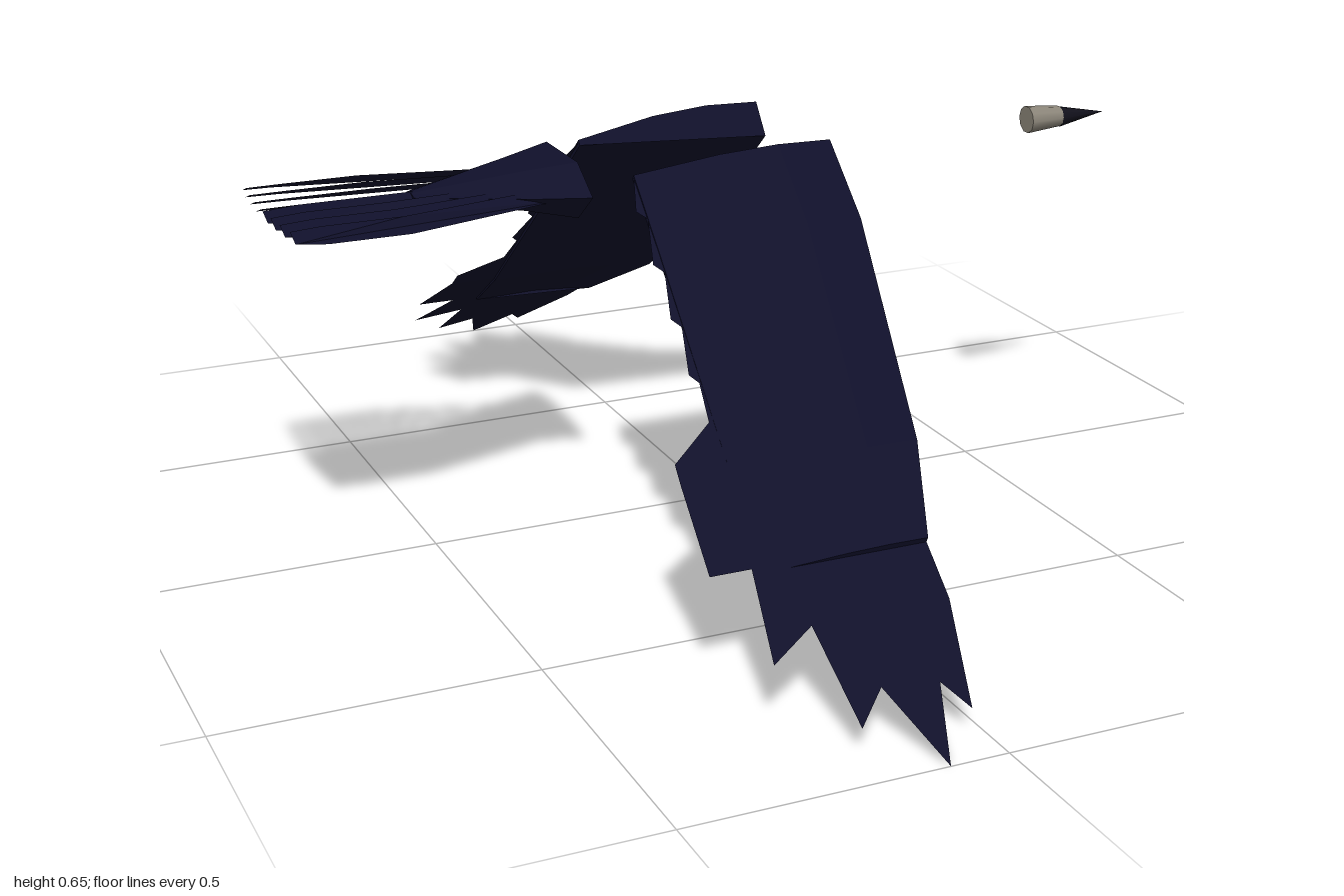
import * as THREE from 'three';

const plumage = new THREE.MeshStandardMaterial({ color: 0x10102a, side: THREE.DoubleSide });
plumage.name = 'midnight plumage';
const beakGrey = new THREE.MeshStandardMaterial({ color: 0x8c867a });
beakGrey.name = 'beak grey';
const beakDark = new THREE.MeshStandardMaterial({ color: 0x12111c });
beakDark.name = 'beak tip dark';

function addMesh(parent, name, geometry, material) {
  const mesh = new THREE.Mesh(geometry, material);
  mesh.name = name;
  parent.add(mesh);
  return mesh;
}

// Faceted solid through rings of equal point count, closed at both ends
function loft(rings) {
  const n = rings[0].length, pos = [];
  const tri = (a, b, c) => pos.push(...a, ...b, ...c);
  for (let i = 0; i < rings.length - 1; i++) {
    for (let j = 0; j < n; j++) {
      const k = (j + 1) % n;
      const [a, b, c, d] = [rings[i][j], rings[i][k], rings[i + 1][k], rings[i + 1][j]];
      tri(a, b, c);
      tri(a, c, d);
    }
  }
  const last = rings[rings.length - 1];
  for (let j = 1; j < n - 1; j++) {
    tri(rings[0][0], rings[0][j + 1], rings[0][j]);
    tri(last[0], last[j], last[j + 1]);
  }
  const g = new THREE.BufferGeometry();
  g.setAttribute('position', new THREE.Float32BufferAttribute(pos, 3));
  g.computeVertexNormals();
  return g;
}

// Flat outline in x and z, lifted to a height given by a rule
function sheet(points, height) {
  const shape = new THREE.Shape(points.map(([x, z]) => new THREE.Vector2(x, z)));
  const g = new THREE.ShapeGeometry(shape).toNonIndexed();
  const p = g.attributes.position;
  for (let i = 0; i < p.count; i++) {
    const x = p.getX(i), z = p.getY(i);
    p.setXYZ(i, x, height(x, z), z);
  }
  g.computeVertexNormals();
  return g;
}

// Height of the drooping wing, with a bend at the wrist
const wingY = (x, z) => z < 0.525
  ? 0.62 - (z - 0.12) * 0.869
  : 0.268 - (z - 0.525) * 0.564;

function makeWing() {
  const wing = new THREE.Group();

  // Arm: cambered sections [z, y, front x, back x, thickness, normal z, normal y]
  const sections = [
    [0.12, 0.625, 0.145, -0.19, 1, 0.6, 0.8],
    [0.23, 0.527, 0.147, -0.193, 0.86, 0.66, 0.75],
    [0.525, 0.268, 0.102, -0.205, 0.42, 0.58, 0.81],
    [0.68, 0.18, 0.04, -0.19, 0.32, 0.49, 0.87],
  ];
  // Profile: chord fraction from the front, and offset from the centre line
  const profile = [
    [0, -0.03], [0, 0.034], [0.28, 0.037], [0.58, 0.028],
    [1, 0], [1, -0.01], [0.5, 0], [0.25, -0.01],
  ];
  addMesh(wing, 'wingArm', loft(sections.map(([z, y, xf, xb, t, nz, ny]) =>
    profile.map(([c, o]) => [xf + (xb - xf) * c, y + o * t * ny, z + o * t * nz]))), plumage);

  // Inner trailing feathers, stepped along the rear edge
  const inner = [[0.02, 0.12], [0.06, 0.525], [-0.287, 0.525], [-0.285, 0.5], [-0.21, 0.455]];
  for (let i = 0; i < 4; i++) {
    const z = 0.4 - i * 0.075;
    inner.push([-0.203 + i * 0.004, z + 0.004], [-0.215 + i * 0.003, z - 0.008]);
  }
  inner.push([-0.19, 0.12]);
  addMesh(wing, 'innerFeathers', sheet(inner, wingY), plumage);

  // Outer flight feathers with pointed tips
  addMesh(wing, 'flightFeathers', sheet([
    [0.098, 0.525], [0.045, 0.64], [0.03, 0.77], [-0.02, 0.93], [-0.047, 0.885],
    [-0.092, 1], [-0.135, 0.875], [-0.19, 0.925], [-0.192, 0.77], [-0.272, 0.815],
    [-0.24, 0.672], [-0.306, 0.672], [-0.287, 0.525],
  ], wingY), plumage);
  return wing;
}

function makeTail() {
  const tail = new THREE.Group();
  tail.name = 'tail';

  // Six-sided tail base tapering into the fan: [x, half width, ridge half width, up, down]
  const rings = [
    [-0.265, 0.135, 0.07, 0.042, 0.05],
    [-0.35, 0.105, 0.045, 0.03, 0.034],
    [-0.52, 0.02, 0.005, 0.004, 0.012],
  ].map(([x, w, r, up, dn]) => [
    [x, 0.6, w], [x, 0.6 + up, r], [x, 0.6 + up, -r],
    [x, 0.6, -w], [x, 0.6 - dn, -r], [x, 0.6 - dn, r],
  ]);
  addMesh(tail, 'tailBase', loft(rings), plumage);

  // Fan of overlapping feathers, each rolled slightly
  const count = 8;
  for (let i = 0; i < count; i++) {
    const a = i / count * 2 - 1, b = (i + 1) / count * 2 - 1, m = (a + b) / 2;
    const tip = -0.757 + 0.012 * m * m;
    const points = [
      [-0.3, a * 0.09], [-0.35, a * 0.105], [-0.57, a * 0.17], [-0.7, a * 0.17],
      [tip, a * 0.168 + 0.006], [tip, b * 0.168 - 0.006],
      [-0.7, b * 0.17], [-0.57, b * 0.17], [-0.35, b * 0.105], [-0.3, b * 0.09],
    ];
    const roll = m < 0 ? 1 : -1;
    const width = (x) => x > -0.57 ? 0.17 - (x + 0.57) * 0.295 : 0.17;
    addMesh(tail, 'tailFeather', sheet(points, (x, z) =>
      0.597 + roll * 0.008 * (z / width(x) - m) * count), plumage);
  }
  return tail;
}

function makeBeak() {
  const beak = new THREE.Group();
  beak.name = 'beak';
  // Grey base and dark pointed tip
  const base = new THREE.CylinderGeometry(0.018, 0.024, 0.065, 10).rotateZ(-Math.PI / 2);
  addMesh(beak, 'beakBase', base, beakGrey).position.set(0.6325, 0.606, 0);
  const tip = new THREE.ConeGeometry(0.018, 0.09, 10).rotateZ(-Math.PI / 2);
  addMesh(beak, 'beakTip', tip, beakDark).position.set(0.71, 0.605, 0);
  return beak;
}

export function createModel() {
  const model = new THREE.Group();
  model.name = 'flyingBird';
  const nearWing = makeWing();
  nearWing.name = 'frontWing';
  const farWing = makeWing();
  farWing.name = 'backWing';
  farWing.scale.z = -1;
  model.add(nearWing, farWing, makeTail(), makeBeak());
  return model;
}
